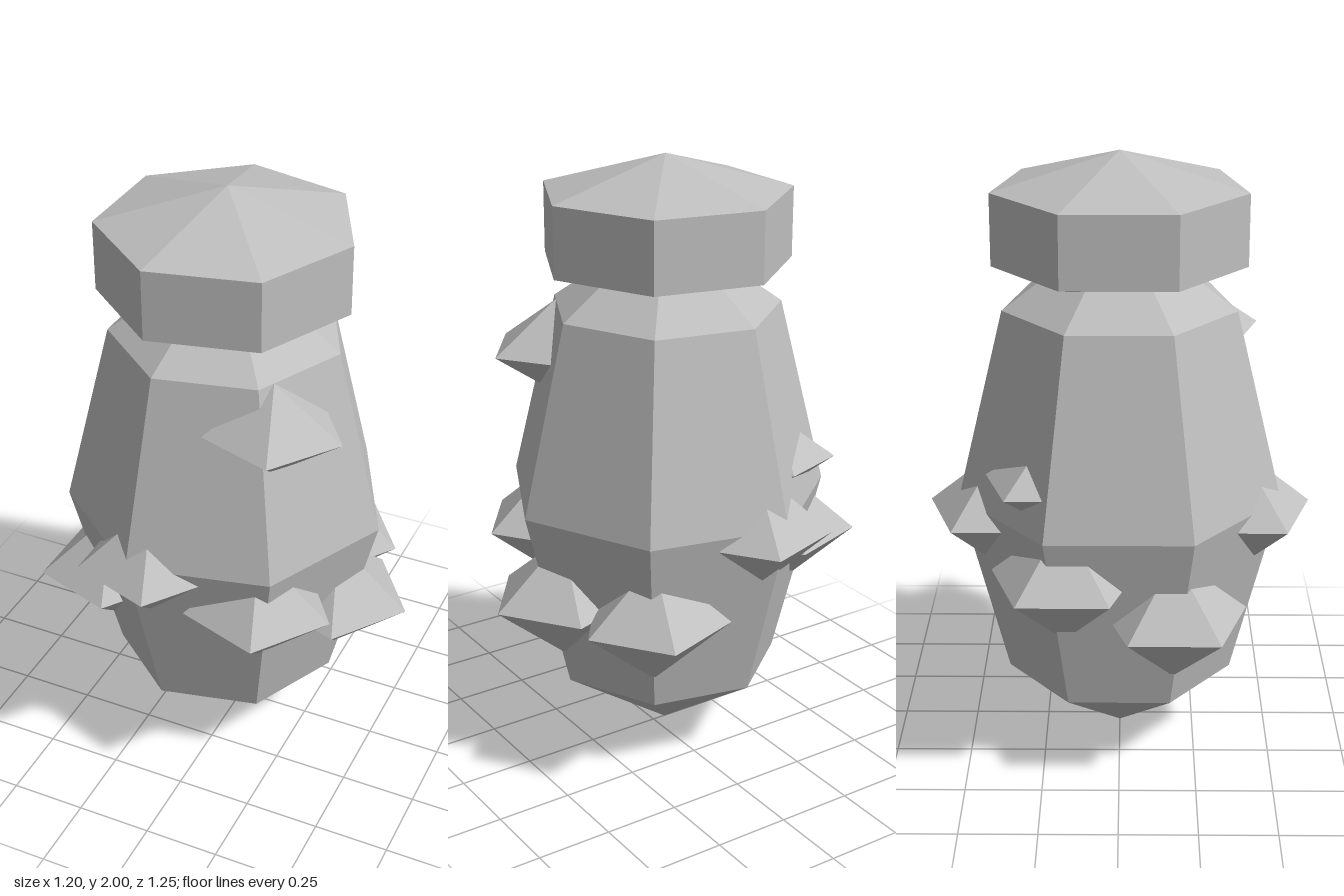
import * as THREE from 'three';

const AXIS_X = -0.045; // the column axis sits slightly off centre

export function createModel() {
  const model = new THREE.Group();
  model.name = 'spikedStone';
  const stone = new THREE.MeshStandardMaterial({ color: 0xbfbfbf, flatShading: true });
  stone.name = 'greyStone';

  // Faceted solid of revolution with its first corner on +x
  function facetedPart(name, profile, sides, x, y, z) {
    const points = profile.map(([r, h]) => new THREE.Vector2(r, h));
    const mesh = new THREE.Mesh(new THREE.LatheGeometry(points, sides, Math.PI / 2), stone);
    mesh.name = name;
    mesh.position.set(x, y, z);
    model.add(mesh);
  }

  // Seven-sided column, pointed below and drawn in at the neck
  facetedPart('body', [[0, 0], [0.38, 0.26], [0.535, 0.885], [0.38, 1.51], [0.24, 1.61]], 7, AXIS_X, 0, 0);

  // Overhanging cap with a shallow peak
  facetedPart('cap', [[0.24, 1.61], [0.41, 1.655], [0.41, 1.885], [0, 2]], 7, AXIS_X, 0, 0);

  // Five-sided double-pointed crystal
  const spike = (name, r, h, x, y, z) =>
    facetedPart(name, [[0, -h], [r, 0], [0, h]], 5, x, y, z);

  // Ring of crystals, one at each body corner, at staggered heights
  [0.58, 0.71, 0.84, 0.58, 0.71, 0.84, 0.58].forEach((y, i) => {
    const a = (i / 7) * Math.PI * 2;
    spike('ringSpike' + (i + 1), 0.247, 0.21, AXIS_X + 0.398 * Math.cos(a), y, 0.398 * Math.sin(a));
  });

  // Smaller single crystals higher up
  spike('upperFrontSpike', 0.226, 0.16, 0.22, 1.35, 0.245);
  spike('upperBackSpike', 0.198, 0.14, -0.32, 1.01, -0.235);

  return model;
}
